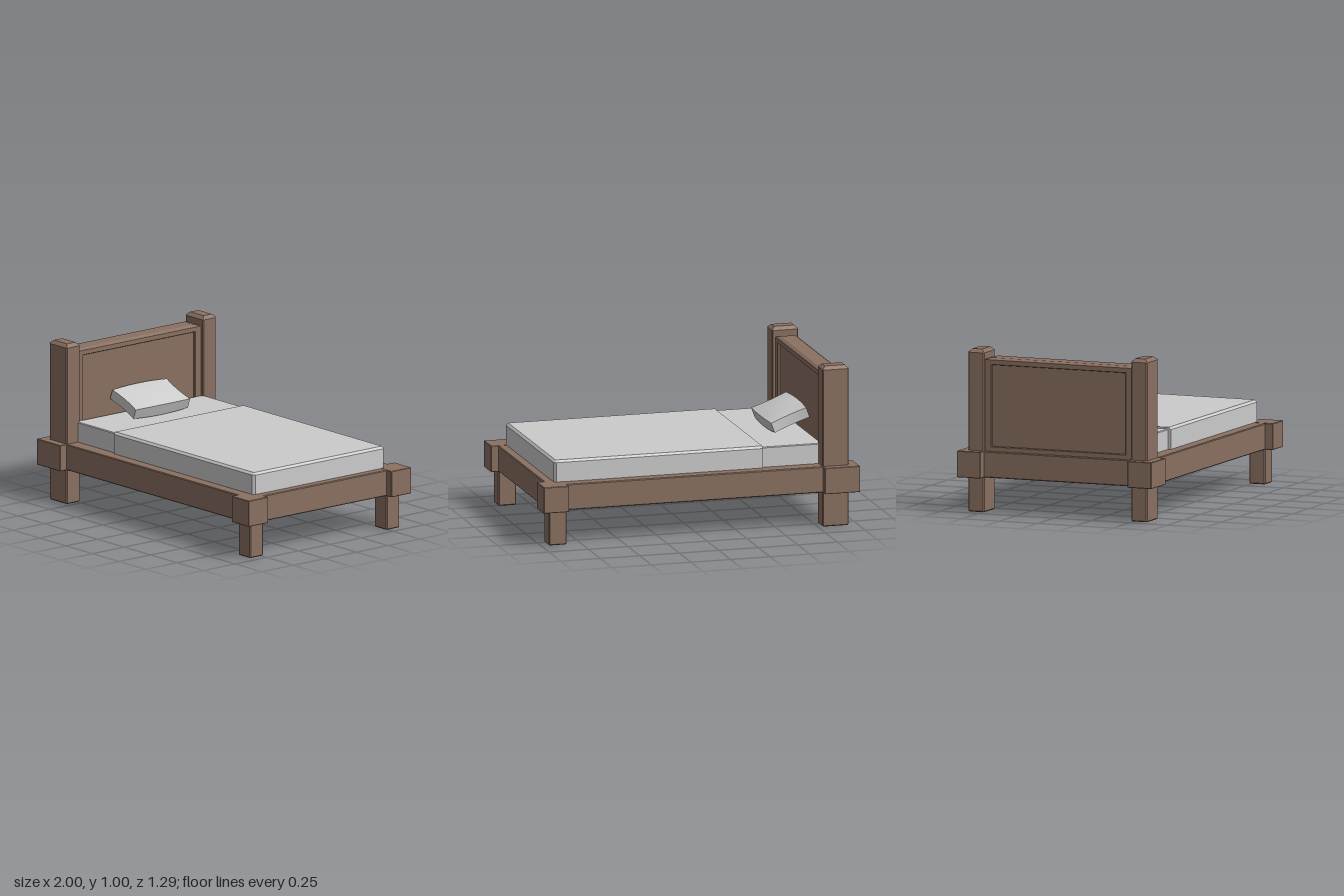
import * as THREE from 'three';

const wood = new THREE.MeshStandardMaterial({ color: 0x8a7061 });
const cloth = new THREE.MeshStandardMaterial({ color: 0xcccccc });

export function createModel() {
  const bed = new THREE.Group();
  bed.name = 'bed';

  const add = (name, geometry, material) => {
    const mesh = new THREE.Mesh(geometry, material);
    mesh.name = name;
    bed.add(mesh);
    return mesh;
  };

  // Box given by its limits, with every edge cut by a flat chamfer c
  const block = (name, [x0, x1], [y0, y1], [z0, z1], c, material = wood) => {
    const a = (x1 - x0) / 2, b = (z1 - z0) / 2;
    const outline = new THREE.Shape([
      [a - c, -b], [a, -b + c], [a, b - c], [a - c, b],
      [-a + c, b], [-a, b - c], [-a, -b + c], [-a + c, -b],
    ].map(([x, y]) => new THREE.Vector2(x, y)));
    const geometry = new THREE.ExtrudeGeometry(outline, {
      depth: y1 - y0 - 2 * c, bevelEnabled: true, bevelSegments: 1,
      bevelThickness: c, bevelSize: c, bevelOffset: -c,
    });
    geometry.rotateX(-Math.PI / 2);
    geometry.translate((x0 + x1) / 2, y0 + c, (z0 + z1) / 2);
    return add(name, geometry, material);
  };

  // Sloped cap: a box whose top corners are drawn inward
  const cap = (name, [x0, x1], [y0, y1], [z0, z1], insetX, insetZ) => {
    const geometry = new THREE.BoxGeometry(x1 - x0, y1 - y0, z1 - z0).toNonIndexed();
    const p = geometry.attributes.position;
    for (let i = 0; i < p.count; i++) {
      if (p.getY(i) > 0) {
        p.setX(i, p.getX(i) - Math.sign(p.getX(i)) * insetX);
        p.setZ(i, p.getZ(i) - Math.sign(p.getZ(i)) * insetZ);
      }
    }
    geometry.computeVertexNormals();
    geometry.translate((x0 + x1) / 2, (y0 + y1) / 2, (z0 + z1) / 2);
    add(name, geometry, wood);
  };

  // Posts, legs, corner blocks and long rails on both sides
  for (const s of [1, -1]) {
    const side = s > 0 ? 'left' : 'right';
    const span = (p, q) => (s > 0 ? [p, q] : [-q, -p]);
    block(`${side}HeadPost`, [-0.943, -0.778], [0, 0.982], span(0.487, 0.592), 0.006);
    cap(`${side}HeadPostCap`, [-0.943, -0.778], [0.978, 0.997], span(0.487, 0.592), 0.02, 0.02);
    block(`${side}FootLeg`, [0.84, 0.953], [0, 0.26], span(0.487, 0.592), 0.006);
    block(`${side}HeadCornerBlock`, [-1, -0.778], [0.214, 0.376], span(0.487, 0.644), 0.003);
    block(`${side}FootCornerBlock`, [0.84, 1], [0.214, 0.376], span(0.487, 0.644), 0.003);
    block(`${side}SideRail`, [-0.8, 0.86], [0.214, 0.375], span(0.49, 0.593), 0.005);
    block(`${side}HeadboardStile`, [-0.93, -0.8], [0.36, 0.92], span(0.443, 0.5), 0.003);
  }

  // End rails
  block('footRail', [0.84, 0.953], [0.214, 0.375], [-0.5, 0.5], 0.005);
  block('headRail', [-0.945, -0.79], [0.214, 0.375], [-0.5, 0.5], 0.005);

  // Headboard: recessed panel, lower rail, top rail and its cap
  block('headboardPanel', [-0.915, -0.815], [0.36, 0.92], [-0.46, 0.46], 0.003);
  block('headboardLowerRail', [-0.93, -0.8], [0.36, 0.405], [-0.46, 0.46], 0.003);
  block('headboardTopRail', [-0.93, -0.8], [0.905, 0.937], [-0.49, 0.49], 0.002);
  cap('headboardCap', [-0.93, -0.8], [0.935, 0.947], [-0.49, 0.49], 0.02, 0.04);

  // Slats across the frame
  for (let i = 0; i < 4; i++) {
    const x = 0.58 - i * 0.37;
    block('slat', [x - 0.1, x + 0.1], [0.255, 0.315], [-0.5, 0.5], 0.003);
  }

  // Mattress with the blanket over its foot part
  block('mattress', [-0.8, 0.88], [0.315, 0.5], [-0.503, 0.503], 0.005, cloth);
  const blanket = block('blanket', [-0.42, 0.9], [0.32, 0.51], [-0.52, 0.52], 0.014, cloth);
  // The blanket's head end is cut square
  const bp = blanket.geometry.attributes.position;
  for (let i = 0; i < bp.count; i++) if (bp.getX(i) < -0.4) bp.setX(i, -0.42);
  blanket.geometry.computeVertexNormals();

  // Pillow: box swelling toward the middle, with pulled-out corners
  const pillow = new THREE.BoxGeometry(2, 2, 2, 8, 4, 12);
  const p = pillow.attributes.position;
  for (let i = 0; i < p.count; i++) {
    const u = p.getX(i), v = p.getY(i), w = p.getZ(i);
    const du = 1 - u * u, dw = 1 - w * w;
    p.setXYZ(i,
      u * (0.118 + 0.008 * dw),
      v * (0.032 + 0.014 * dw * (0.4 + 0.6 * du)),
      w * (0.215 - 0.01 * du));
  }
  pillow.computeVertexNormals();
  const pillowMesh = add('pillow', pillow, cloth);
  pillowMesh.rotation.z = -0.36;
  pillowMesh.position.set(-0.688, 0.583, 0.008);

  return bed;
}
